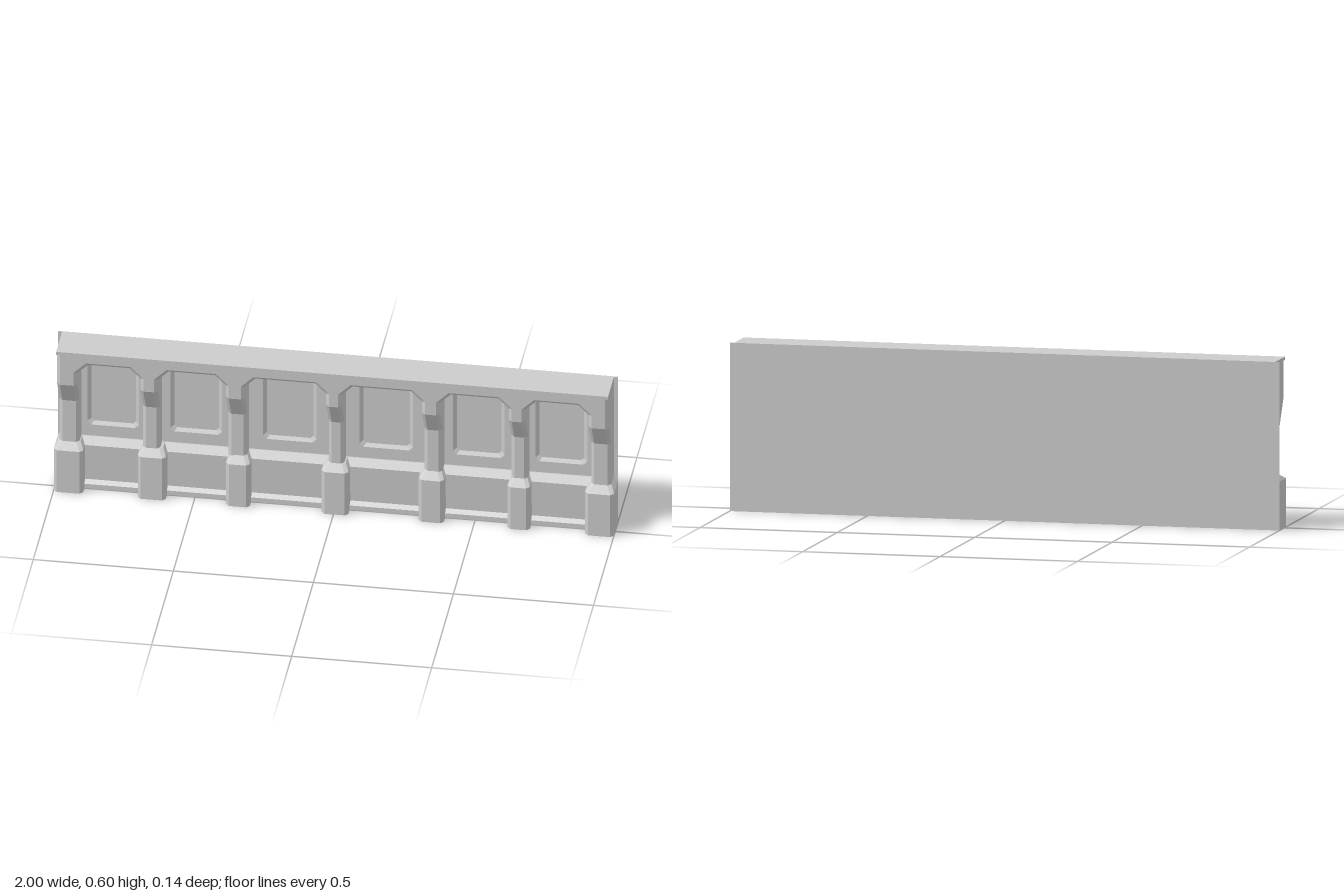
import * as THREE from 'three';

const BACK = -0.07, WALL = -0.05, FRONT = 0.0625, C = 0.012;
const material = new THREE.MeshStandardMaterial({ color: 0xcccccc, flatShading: true, side: THREE.DoubleSide });

// Skin a list of equal-length point rows; closed rows wrap round, ends can be capped
function loft(rows, { closed = true, capFirst = false, capLast = false } = {}) {
  const n = rows[0].length, index = [];
  for (let r = 0; r < rows.length - 1; r++) {
    for (let i = 0; i < (closed ? n : n - 1); i++) {
      const j = (i + 1) % n;
      const a = r * n + i, b = r * n + j, c = b + n, d = a + n;
      index.push(a, b, c, a, c, d);
    }
  }
  const last = (rows.length - 1) * n;
  for (let i = 1; i < n - 1; i++) {
    if (capFirst) index.push(0, i + 1, i);
    if (capLast) index.push(last, last + i, last + i + 1);
  }
  const geometry = new THREE.BufferGeometry();
  geometry.setAttribute('position', new THREE.Float32BufferAttribute(rows.flat(2), 3));
  geometry.setIndex(index);
  const flat = geometry.toNonIndexed();
  flat.computeVertexNormals();
  return flat;
}

// Upright block with chamfered front corners; levels are [y, front z, side inset]
function column(x0, x1, zb, levels) {
  const rows = levels.map(([y, zf, inset]) => {
    const l = x0 + inset, r = x1 - inset;
    return [[l, y, zb], [l, y, zf - C], [l + C, y, zf], [r - C, y, zf], [r, y, zf - C], [r, y, zb]];
  });
  return loft(rows, { capFirst: true, capLast: true });
}

// Rectangle with cut corners, counter-clockwise from the front
function cutRect(cx, cy, w, h, cut) {
  const x = w / 2, y = h / 2;
  return [[-x + cut, -y], [x - cut, -y], [x, -y + cut], [x, y - cut],
    [x - cut, y], [-x + cut, y], [-x, y - cut], [-x, -y + cut]].map(([a, b]) => [cx + a, cy + b]);
}

export function createModel() {
  const model = new THREE.Group();
  const add = (name, geometry, x = 0, y = 0, z = 0) => {
    const mesh = new THREE.Mesh(geometry, material);
    mesh.name = name;
    mesh.position.set(x, y, z);
    model.add(mesh);
  };

  // Bay edges, measured at the front of the chamfers
  const bays = [[-0.925, -0.675], [-0.637, -0.37], [-0.327, -0.012],
    [0.02, 0.33], [0.37, 0.64], [0.675, 0.925]];
  // Plinth block edges
  const plinths = [[-1, -0.895], [-0.7, -0.6], [-0.385, -0.3], [-0.044, 0.052],
    [0.303, 0.393], [0.62, 0.7], [0.897, 1]];

  // Back plate and top cap
  add('backPlate', new THREE.BoxGeometry(2, 0.6, 0.004), 0, 0.3, BACK + 0.002);
  add('topCap', new THREE.BoxGeometry(1.97, 0.012, 0.14), 0, 0.594, 0);

  // Recessed wall with an opening for each sunk panel
  const wall = new THREE.Shape([[-0.98, 0.15], [0.98, 0.15], [0.98, 0.59], [-0.98, 0.59]]
    .map(p => new THREE.Vector2(...p)));
  for (const [a, b] of bays) {
    const cx = (a + b) / 2, w = 0.185 + (b - a > 0.3 ? 0.006 : 0);
    const outer = cutRect(cx, 0.367, w, 0.264, 0.014);
    const inner = cutRect(cx, 0.367, w - 0.026, 0.238, 0.01);
    wall.holes.push(new THREE.Path(outer.map(p => new THREE.Vector2(...p)).reverse()));
    add('sunkPanel', loft([outer.map(p => [...p, WALL]), inner.map(p => [...p, WALL - 0.009])], { capLast: true }));
  }
  add('wall', new THREE.ExtrudeGeometry(wall, { depth: 0.015, bevelEnabled: false }), 0, 0, WALL - 0.015);

  // Low wall with sloped ledge and skirting, running behind the plinth blocks
  const profile = [[0, 0], [BACK, 0], [BACK, 0.19], [-0.045, 0.19], [-0.01, 0.173], [-0.015, 0.03], [0, 0.018]];
  add('lowWall', loft([-0.98, 0.98].map(x => profile.map(([z, y]) => [x, y, z]))));

  // Plinth blocks with sloped tops
  for (const [a, b] of plinths) {
    add('plinthBlock', column(a, b, BACK, [[0, 0.04, 0], [0.173, 0.04, 0], [0.19, 0.002, 0.015]]));
  }

  // Bracketed posts between the bays
  for (let i = 0; i <= bays.length; i++) {
    const x0 = i === 0 ? -0.985 : bays[i - 1][1] - C;
    const x1 = i === bays.length ? 0.985 : bays[i][0] + C;
    add('post', column(x0, x1, BACK, [[0.18, 0.002, 0], [0.36, 0.002, 0], [0.46, FRONT, 0], [0.59, FRONT, 0]]));
  }

  // Cut-corner arch head over each bay
  for (const [a, b] of bays) {
    const arch = (inset, z) => [
      [a + inset, 0.513 - inset * 0.5, z], [a + 0.045 + inset * 0.5, 0.557 - inset, z],
      [b - 0.045 - inset * 0.5, 0.557 - inset, z], [b - inset, 0.513 - inset * 0.5, z]];
    const front = arch(0, FRONT);
    const top = front.map(([x, , z]) => [x, 0.59, z]);
    add('archHead', loft([arch(C, WALL - 0.005), arch(C, FRONT - C), front, top], { closed: false }));
  }
  return model;
}
